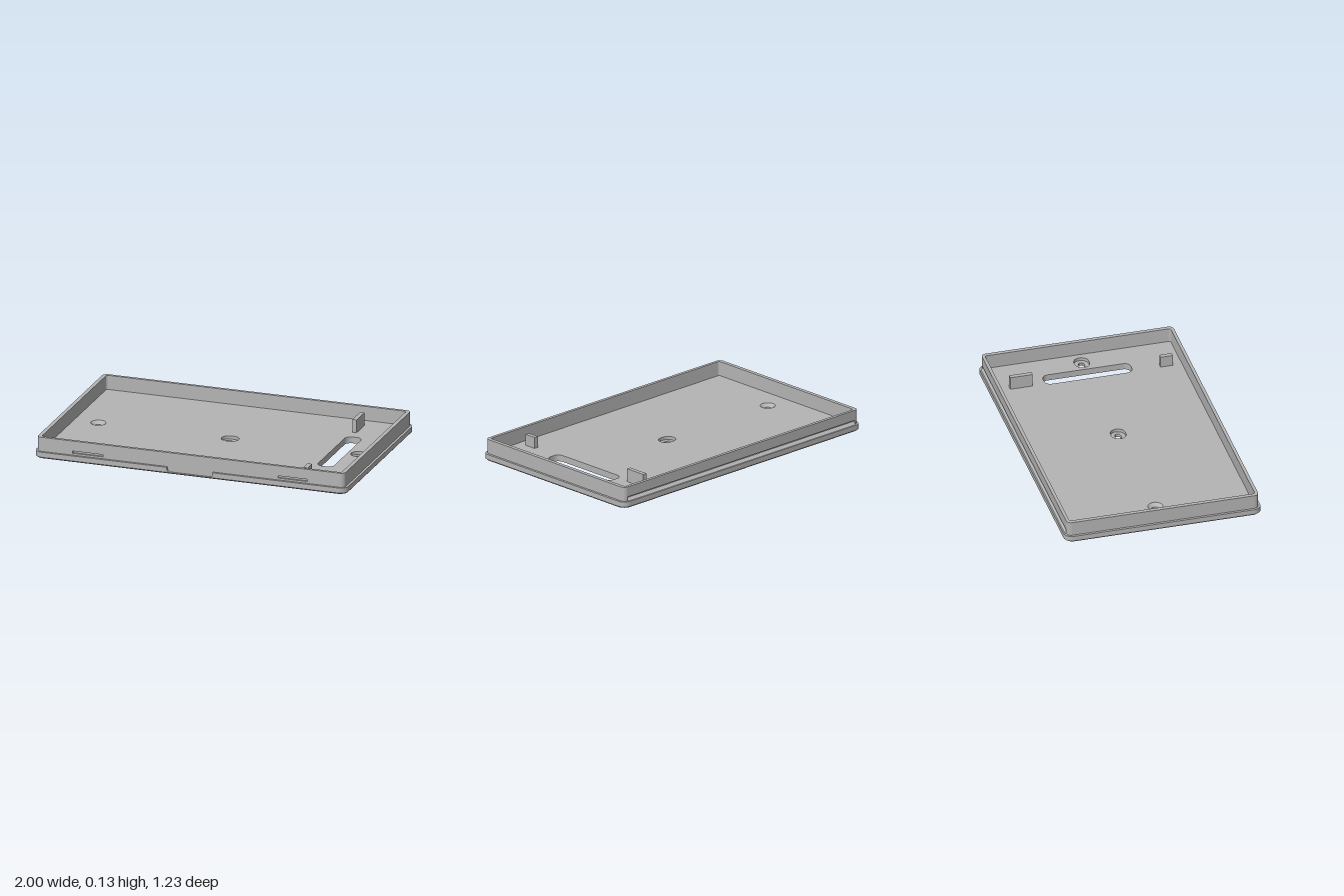
import * as THREE from 'three';
import { toCreasedNormals } from 'three/addons/utils/BufferGeometryUtils.js';

// Rounded rectangle; notches are [x0, x1, depth] cut into the front or back edge.
// Shape y is -z, so the front edge lies at -hz.
function outline(hx, hz, r, front = [], back = [], P = THREE.Shape) {
  const s = new P();
  s.moveTo(-hx + r, -hz);
  for (const [a, b, d] of front) {
    s.lineTo(a, -hz); s.lineTo(a, -hz + d); s.lineTo(b, -hz + d); s.lineTo(b, -hz);
  }
  s.lineTo(hx - r, -hz);
  s.absarc(hx - r, -hz + r, r, -Math.PI / 2, 0);
  s.lineTo(hx, hz - r);
  s.absarc(hx - r, hz - r, r, 0, Math.PI / 2);
  for (const [a, b, d] of back) {
    s.lineTo(b, hz); s.lineTo(b, hz - d); s.lineTo(a, hz - d); s.lineTo(a, hz);
  }
  s.lineTo(-hx + r, hz);
  s.absarc(-hx + r, hz - r, r, Math.PI / 2, Math.PI);
  s.lineTo(-hx, -hz + r);
  s.absarc(-hx + r, -hz + r, r, Math.PI, Math.PI * 1.5);
  return s;
}

// Stadium-shaped hole centred at x, z
function slot(x, z, hx, hz, r) {
  const p = new THREE.Path();
  const l = hx - r, h = hz - r;
  p.moveTo(x + hx, -z - h);
  p.absarc(x + l, -z + h, r, 0, Math.PI / 2);
  p.absarc(x - l, -z + h, r, Math.PI / 2, Math.PI);
  p.absarc(x - l, -z - h, r, Math.PI, Math.PI * 1.5);
  p.absarc(x + l, -z - h, r, Math.PI * 1.5, Math.PI * 2);
  return p;
}

function circle(x, z, r) {
  const p = new THREE.Path();
  p.absarc(x, -z, r, 0, Math.PI * 2);
  return p;
}

// Horizontal slab between two heights
function slab(shape, holes, y0, y1) {
  shape.holes.push(...holes);
  const g = new THREE.ExtrudeGeometry(shape, { depth: y1 - y0, bevelEnabled: false, curveSegments: 10 });
  g.rotateX(-Math.PI / 2);
  g.translate(0, y0, 0);
  return g;
}

export function createModel() {
  const group = new THREE.Group();
  const grey = new THREE.MeshStandardMaterial({ color: 0xb4b4b4, side: THREE.DoubleSide });
  grey.name = 'grey plastic';
  const add = (name, g, smooth = true) => {
    const m = new THREE.Mesh(smooth ? toCreasedNormals(g, 0.6) : g, grey);
    m.name = name;
    group.add(m);
    return m;
  };

  // Base plate in three layers: foot recesses, through holes, counterbores
  const cable = () => slot(0.74, 0, 0.052, 0.275, 0.04);
  const screwHoles = () => [cable(), circle(-0.805, 0, 0.025),
    slot(0.04, 0, 0.03, 0.018, 0.018), slot(0.87, 0, 0.03, 0.018, 0.018)];
  const recesses = [];
  for (const z of [-0.515, 0.515]) for (const x of [-0.9, -0.29, 0.9]) recesses.push(circle(x, z, 0.07));
  for (const z of [-0.147, 0.147]) recesses.push(circle(-0.805, z, 0.07));

  const bottom = slab(outline(1, 0.615, 0.05), [...screwHoles(), ...recesses], 0, 0.008);
  // Chamfer the lower outer edge
  const pos = bottom.attributes.position;
  for (let i = 0; i < pos.count; i++) {
    const x = pos.getX(i), z = pos.getZ(i);
    if (pos.getY(i) < 0.001 && (Math.abs(x) > 0.975 || Math.abs(z) > 0.59)) {
      pos.setX(i, x * 0.993);
      pos.setZ(i, z * 0.988);
    }
  }
  bottom.computeVertexNormals();
  add('plateBottom', bottom);

  const notch = [[-0.147, 0.147, 0.015]];
  add('plateMiddle', slab(outline(1, 0.615, 0.05, notch), screwHoles(), 0.008, 0.02));
  add('plateTop', slab(outline(1, 0.615, 0.05, notch), [cable(), circle(-0.805, 0, 0.047),
    slot(0.04, 0, 0.055, 0.046, 0.046), slot(0.87, 0, 0.055, 0.046, 0.046)], 0.02, 0.04));

  // Countersink cone
  const cone = new THREE.CylinderGeometry(0.047, 0.025, 0.02, 32, 1, true);
  cone.translate(-0.805, 0.03, 0);
  add('countersink', cone, false);

  // Rounded lower corners of the thumb notch
  for (const s of [-1, 1]) {
    const f = new THREE.Shape();
    f.moveTo(s * 0.147, 0.008);
    f.lineTo(s * 0.122, 0.008);
    f.quadraticCurveTo(s * 0.147, 0.008, s * 0.147, 0.033);
    f.closePath();
    const g = new THREE.ExtrudeGeometry(f, { depth: 0.015, bevelEnabled: false, curveSegments: 6 });
    g.translate(0, 0, 0.6);
    add('notchFillet', g);
  }

  // Rim wall, with two front latch slots and a long groove in the back
  const inner = () => outline(0.96, 0.58, 0.012, [], [], THREE.Path);
  const groove = [[-0.955, 0.955, 0.012]];
  const latches = [[-0.755, -0.56, 0.012], [0.56, 0.75, 0.012]];
  const wall = (name, y0, y1, front, back) =>
    add(name, slab(outline(0.985, 0.6, 0.03, front, back), [inner()], y0, y1));
  wall('rimLower', 0.04, 0.052, [], groove);
  wall('rimSlotted', 0.052, 0.066, latches, groove);
  wall('rimUpper', 0.066, 0.13, [], []);

  // Sloped floor of the back groove
  const w = new THREE.Shape([[0.607, 0.04], [0.588, 0.04], [0.588, 0.056]].map(p => new THREE.Vector2(...p)));
  const wedge = new THREE.ExtrudeGeometry(w, { depth: 1.91, bevelEnabled: false });
  wedge.rotateY(Math.PI / 2);
  wedge.translate(-0.955, 0, 0);
  add('grooveSlope', wedge, false);

  // Upright posts on the floor
  for (const [z0, z1, top] of [[-0.495, -0.355, 0.122], [0.445, 0.522, 0.11]]) {
    const post = add('post', new THREE.BoxGeometry(0.028, top - 0.04, z1 - z0), false);
    post.position.set(0.709, (top + 0.04) / 2, (z0 + z1) / 2);
  }
  return group;
}
